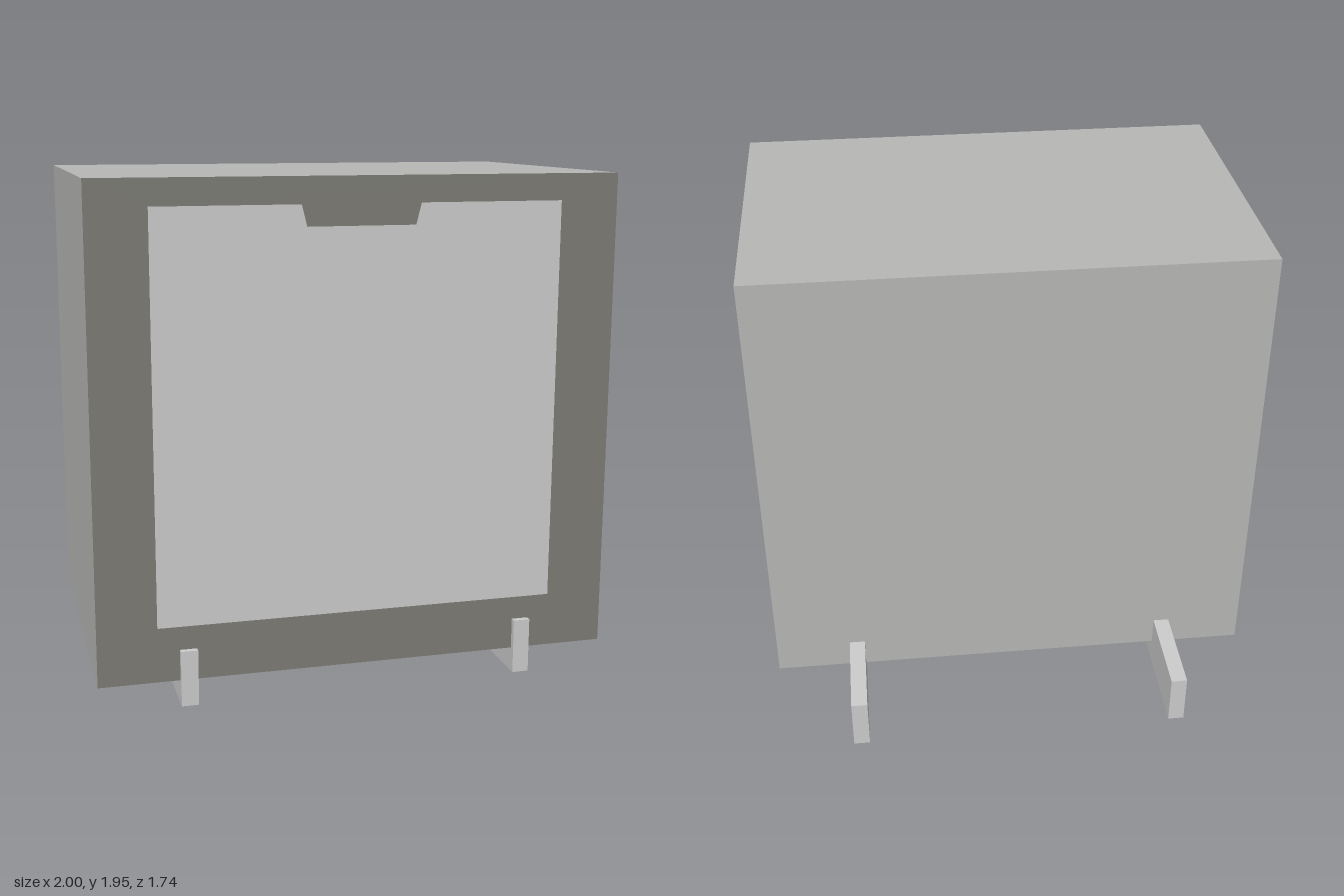
import * as THREE from 'three';

const material = (color) => new THREE.MeshStandardMaterial({ color, flatShading: true });
const grey = material(0xcccccc);
const casing = material(0xb6b6b4);
const dark = material(0x7c7b75);

const BOTTOM = 0.095, TOP = 1.95, BACK = -0.49, FRONT = 0.845, FACE = 0.03;

function add(group, name, geometry, mat, x = 0, y = 0, z = 0) {
  const mesh = new THREE.Mesh(geometry, mat);
  mesh.name = name;
  mesh.position.set(x, y, z);
  group.add(mesh);
  return mesh;
}

const points = (list) => list.map(([x, y]) => new THREE.Vector2(x, y));

export function createModel() {
  const group = new THREE.Group();
  group.name = 'cabinet';

  // Casing behind the front face
  const depth = FRONT - FACE - BACK;
  add(group, 'casing', new THREE.BoxGeometry(2, TOP - BOTTOM, depth), casing,
    0, (TOP + BOTTOM) / 2, BACK + depth / 2);

  // Door outline with a tapered grip notch in the top edge
  const outline = points([
    [-0.775, 0.305], [0.775, 0.305], [0.775, 1.85], [0.225, 1.85],
    [0.205, 1.77], [-0.205, 1.77], [-0.225, 1.85], [-0.775, 1.85],
  ]);
  const extrude = { depth: FACE, bevelEnabled: false };

  // Dark surround with the door opening cut out
  const surround = new THREE.Shape(points([[-1, BOTTOM], [1, BOTTOM], [1, TOP], [-1, TOP]]));
  surround.holes.push(new THREE.Path(outline));
  const frame = add(group, 'frontFrame', new THREE.ExtrudeGeometry(surround, extrude), dark,
    0, 0, FRONT - FACE);
  // Outer edges of the surround share the casing colour
  frame.material = [dark, casing];

  // Door panel flush in the opening
  add(group, 'doorPanel', new THREE.ExtrudeGeometry(new THREE.Shape(outline), extrude), grey,
    0, 0, FRONT - FACE);

  // Two runners passing under the casing and out at the back
  for (const side of [-1, 1]) {
    add(group, side > 0 ? 'leftRunner' : 'rightRunner',
      new THREE.BoxGeometry(0.065, 0.215, 1.735), grey, side * 0.66, 0.1075, 0);
  }
  return group;
}
